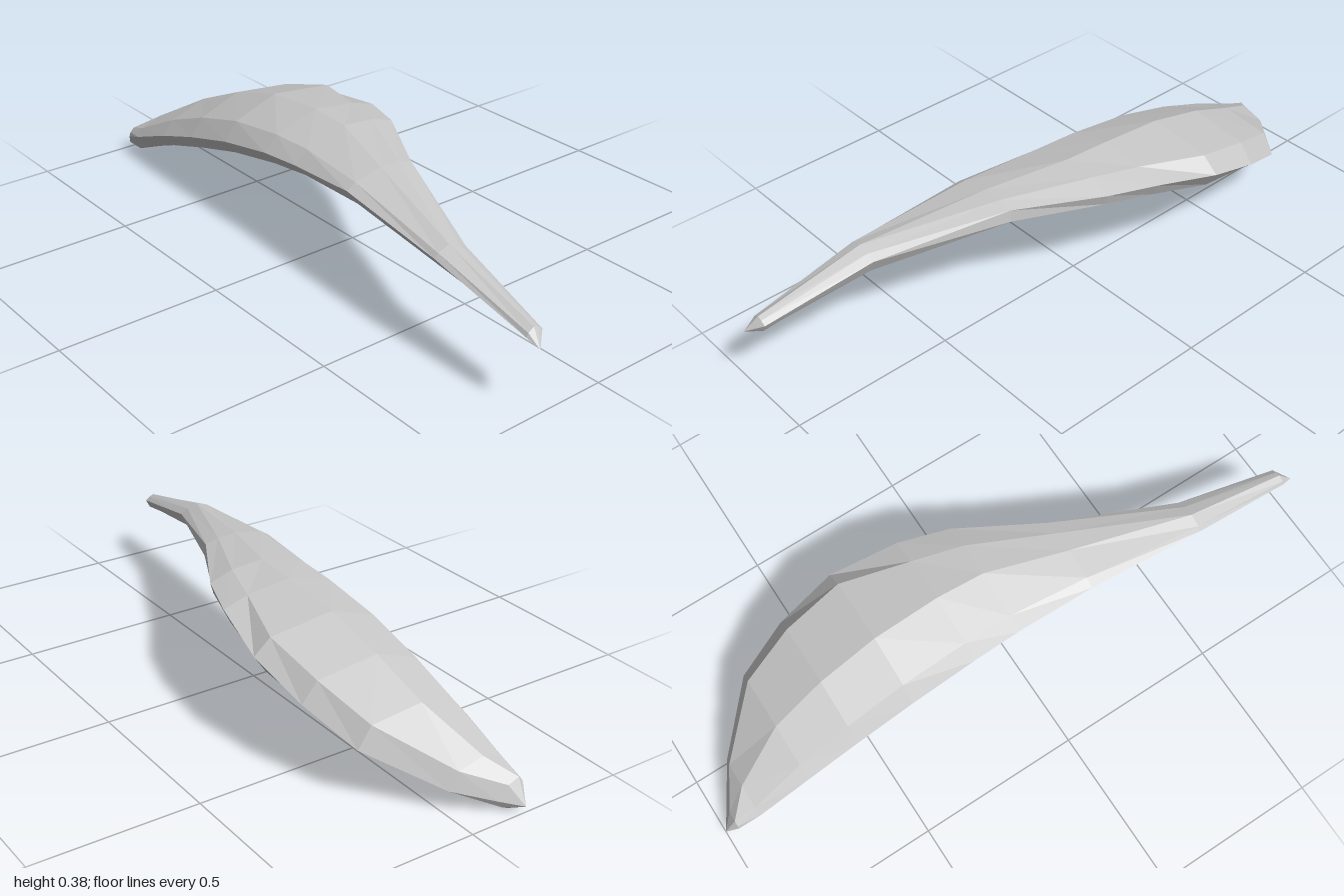
import * as THREE from 'three';

// Stations from the narrow front tip to the broad back end: z, left edge x, left bottom y, left edge y,
// then x, y of ridge, right shoulder, right rim, lip bottom and keel
const STATIONS = [
  [0.96, -0.235, 0.194, 0.212, -0.21, 0.234, -0.195, 0.228, -0.18, 0.217, -0.19, 0.198, -0.195, 0.19],
  [0.63, -0.24, 0.243, 0.288, -0.19, 0.314, -0.155, 0.303, -0.13, 0.288, -0.15, 0.245, -0.175, 0.238],
  [0.25, -0.222, 0.278, 0.328, -0.1, 0.364, -0.035, 0.362, 0.01, 0.35, 0.015, 0.314, -0.1, 0.265],
  [0.0, -0.212, 0.268, 0.31, -0.03, 0.385, 0.075, 0.377, 0.15, 0.352, 0.14, 0.318, -0.03, 0.243],
  [-0.15, -0.212, 0.25, 0.296, -0.02, 0.384, 0.12, 0.367, 0.2, 0.342, 0.18, 0.3, 0, 0.22],
  [-0.36, -0.212, 0.21, 0.257, -0.02, 0.365, 0.185, 0.342, 0.238, 0.297, 0.2, 0.242, 0.025, 0.182],
  [-0.55, -0.212, 0.158, 0.205, -0.03, 0.312, 0.165, 0.29, 0.214, 0.232, 0.17, 0.193, -0.02, 0.135],
  [-0.72, -0.212, 0.105, 0.15, -0.05, 0.238, 0.115, 0.222, 0.157, 0.16, 0.12, 0.133, -0.075, 0.088],
  [-0.89, -0.21, 0.04, 0.085, -0.12, 0.138, -0.04, 0.118, -0.01, 0.068, -0.035, 0.056, -0.14, 0.03],
  [-0.96, -0.203, 0.006, 0.06, -0.185, 0.088, -0.15, 0.075, -0.12, 0.035, -0.135, 0.012, -0.155, 0.003],
];

// Eight corners: undercut left wall, domed top, steep right rim, shallow keel beneath
function section([z, edgeX, lowY, edgeY, ridgeX, ridgeY, ...rightSide]) {
  const mix = THREE.MathUtils.lerp;
  const corners = [
    [edgeX + 0.038, lowY],
    [edgeX, edgeY],
    [mix(edgeX, ridgeX, 0.24), mix(edgeY, ridgeY, 0.52)],
    [ridgeX, ridgeY],
  ];
  for (let i = 0; i < rightSide.length; i += 2) corners.push([rightSide[i], rightSide[i + 1]]);
  return corners.map(([x, y]) => [x, y, z]);
}

function bladeGeometry() {
  const rings = STATIONS.map(section);
  const n = rings[0].length;
  const positions = [];
  const triangle = (a, b, c) => positions.push(...a, ...b, ...c);
  // Skin between neighbouring sections
  for (let i = 0; i < rings.length - 1; i++) {
    for (let j = 0; j < n; j++) {
      const k = (j + 1) % n;
      const a = rings[i][j], b = rings[i][k], c = rings[i + 1][k], d = rings[i + 1][j];
      triangle(a, b, c);
      triangle(a, c, d);
    }
  }
  // Slanted front tip and pointed back tip
  const first = rings[0], last = rings[rings.length - 1];
  const frontTip = [-0.226, 0.193, 1];
  const backTip = [-0.18, 0.02, -1];
  for (let j = 0; j < n; j++) {
    const k = (j + 1) % n;
    triangle(frontTip, first[k], first[j]);
    triangle(backTip, last[j], last[k]);
  }
  const geometry = new THREE.BufferGeometry();
  geometry.setAttribute('position', new THREE.Float32BufferAttribute(positions, 3));
  geometry.computeVertexNormals();
  return geometry;
}

export function createModel() {
  const group = new THREE.Group();
  group.name = 'curvedBlade';
  const grey = new THREE.MeshStandardMaterial({ color: 0xc8c8c8 });
  grey.name = 'light grey';
  const blade = new THREE.Mesh(bladeGeometry(), grey);
  blade.name = 'blade';
  group.add(blade);
  return group;
}
